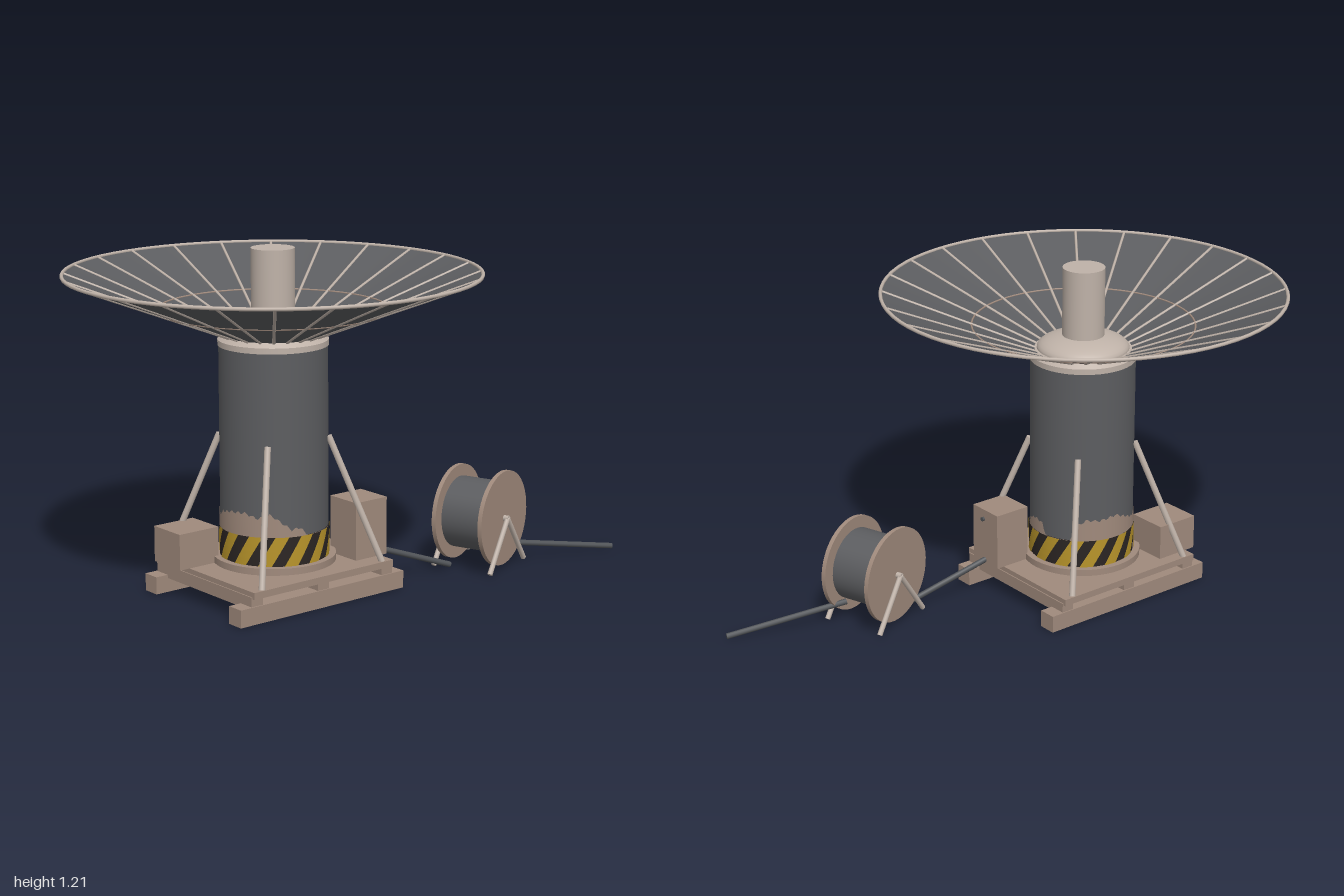
import * as THREE from 'three';

const mat = (name, color, extra = {}) => {
  const m = new THREE.MeshStandardMaterial({ color, ...extra });
  m.name = name;
  return m;
};

export function createModel() {
  const grey = mat('dark grey paint', 0x5c5d60);
  const greyThin = mat('dark grey panel', 0x5c5d60, { side: THREE.DoubleSide });
  const cream = mat('pale metal', 0xbfb2a8);
  const brown = mat('dusty brown', 0xa08a7c);
  const dust = mat('dust coat', 0xa08a7c, { side: THREE.DoubleSide });
  const yellow = mat('hazard yellow', 0xb8942a, { side: THREE.DoubleSide });
  const black = mat('hazard black', 0x2b2523);
  const cableGrey = mat('cable grey', 0x505357);

  const model = new THREE.Group();
  const tower = new THREE.Group();
  tower.name = 'tower';
  tower.position.x = -0.283;
  model.add(tower);

  const add = (parent, name, geo, material, x = 0, y = 0, z = 0) => {
    const m = new THREE.Mesh(geo, material);
    m.name = name;
    m.position.set(x, y, z);
    parent.add(m);
    return m;
  };
  const box = (parent, name, material, w, h, d, x, y, z) =>
    add(parent, name, new THREE.BoxGeometry(w, h, d), material, x, y, z);
  const drum = (parent, name, material, r, y0, y1, rTop = r) =>
    add(parent, name, new THREE.CylinderGeometry(rTop, r, y1 - y0, 48), material, 0, (y0 + y1) / 2, 0);
  // Round bar between two points
  const rod = (parent, name, material, a, b, r, sides = 10) => {
    const p = new THREE.Vector3(...a), q = new THREE.Vector3(...b);
    const dir = q.clone().sub(p);
    const m = add(parent, name, new THREE.CylinderGeometry(r, r, dir.length(), sides), material);
    m.position.copy(p).add(q).multiplyScalar(0.5);
    m.quaternion.setFromUnitVectors(new THREE.Vector3(0, 1, 0), dir.normalize());
    return m;
  };
  // Thin strip wrapped on the column; low and high give [angle, y] for t in 0..1
  const wrap = (r, steps, low, high) => {
    const pos = [], index = [];
    for (let i = 0; i <= steps; i++) {
      for (const [a, y] of [low(i / steps), high(i / steps)]) pos.push(r * Math.sin(a), y, r * Math.cos(a));
      if (i < steps) {
        const k = i * 2;
        index.push(k, k + 2, k + 1, k + 1, k + 2, k + 3);
      }
    }
    const g = new THREE.BufferGeometry();
    g.setAttribute('position', new THREE.Float32BufferAttribute(pos, 3));
    g.setIndex(index);
    g.computeVertexNormals();
    return g;
  };

  // Skid base
  for (const s of [-1, 1]) box(tower, 'skid', brown, 0.715, 0.062, 0.065, 0, 0.036, s * 0.242);
  for (const x of [-0.285, 0, 0.285]) box(tower, 'crossBeam', brown, 0.048, 0.045, 0.54, x, 0.078, 0);
  box(tower, 'platform', brown, 0.61, 0.024, 0.56, 0, 0.106, 0);
  drum(tower, 'baseFlange', brown, 0.215, 0.118, 0.142);

  // Column with collar
  drum(tower, 'column', grey, 0.188, 0.14, 0.89);
  drum(tower, 'collar', cream, 0.191, 0.88, 0.9);
  drum(tower, 'collarBevel', cream, 0.191, 0.9, 0.916, 0.172);

  // Hazard band with slanted stripes
  drum(tower, 'hazardBand', black, 0.1905, 0.142, 0.245);
  const stripes = 13, pitch = Math.PI * 2 / stripes;
  for (let i = 0; i < stripes; i++) {
    // rows climb the band so each stripe stays on the curved face
    const a = i * pitch;
    for (let j = 0; j < 4; j++) {
      const y0 = 0.142 + 0.103 * j / 4, y1 = 0.142 + 0.103 * (j + 1) / 4;
      const s0 = 0.32 * j / 4, s1 = 0.32 * (j + 1) / 4;
      add(tower, 'hazardStripe', wrap(0.1925, 4,
        t => [a + s0 + t * pitch * 0.52, y0], t => [a + s1 + t * pitch * 0.52, y1]), yellow);
    }
  }

  // Ragged dust coat above the band: angle in degrees, top height
  const edge = [[-180, 0.33], [-165, 0.31], [-150, 0.29], [-135, 0.3], [-120, 0.285], [-105, 0.31], [-90, 0.32],
    [-70, 0.325], [-55, 0.31], [-42, 0.325], [-30, 0.295], [-20, 0.27], [-10, 0.275], [-3, 0.245], [60, 0.245],
    [66, 0.28], [80, 0.295], [92, 0.29], [98, 0.245], [128, 0.245], [134, 0.3], [145, 0.325], [160, 0.32], [180, 0.33]];
  const topAt = deg => {
    const i = Math.max(1, edge.findIndex(e => e[0] >= deg));
    const [a0, y0] = edge[i - 1], [a1, y1] = edge[i];
    const y = THREE.MathUtils.lerp(y0, y1, (deg - a0) / (a1 - a0));
    return y > 0.25 ? y + 0.005 * Math.sin(deg * 0.7) : y;
  };
  const angle = t => -180 + 360 * t;
  add(tower, 'dustCoat', wrap(0.1905, 144,
    t => [THREE.MathUtils.degToRad(angle(t)), 0.244],
    t => [THREE.MathUtils.degToRad(angle(t)), topAt(angle(t))]), dust);

  // Diagonal struts
  for (const sx of [-1, 1]) for (const sz of [-1, 1])
    rod(tower, 'strut', cream, [sx * 0.264, 0.116, sz * 0.268], [sx * 0.133, 0.562, sz * 0.136], 0.0115);

  // Equipment boxes
  box(tower, 'smallCabinet', brown, 0.165, 0.127, 0.15, -0.262, 0.1815, -0.16);
  box(tower, 'tallCabinet', brown, 0.14, 0.207, 0.14, 0.265, 0.2215, 0.14);
  rod(tower, 'cabinetKnob', cableGrey, [0.333, 0.288, 0.15], [0.343, 0.288, 0.15], 0.008);

  // Dish
  const r0 = 0.17, r1 = 0.713, y0 = 0.914, y1 = 1.127;
  const dishY = r => y0 + (y1 - y0) * (r - r0) / (r1 - r0);
  add(tower, 'dish', new THREE.LatheGeometry(
    [new THREE.Vector2(r0 - 0.02, y0), new THREE.Vector2(r0, y0), new THREE.Vector2(r1, y1)], 72), greyThin);
  const ring = (name, r, tube, m) => {
    const t = add(tower, name, new THREE.TorusGeometry(r, tube, 8, 72), m, 0, dishY(r), 0);
    t.rotation.x = Math.PI / 2;
  };
  ring('dishRim', r1, 0.0065, cream);
  ring('dishRing', 0.395, 0.0035, brown);
  for (let i = 0; i < 24; i++) {
    const a = (i + 0.5) * Math.PI / 12, s = Math.sin(a), c = Math.cos(a);
    rod(tower, 'dishRib', cream, [r0 * s, y0, r0 * c], [r1 * s, y1, r1 * c], 0.0055, 6);
  }

  // Hub and feed
  const hub = add(tower, 'hub', new THREE.SphereGeometry(0.165, 40, 10, 0, Math.PI * 2, 0, Math.PI / 2),
    cream, 0, 0.915, 0);
  hub.scale.y = 0.33;
  drum(tower, 'feed', cream, 0.075, 0.93, 1.212);

  // Cable reel, its axle along local z
  const reel = new THREE.Group();
  reel.name = 'cableReel';
  reel.position.set(0.482, 0.19, 0.228);
  reel.rotation.y = 0.32;
  model.add(reel);
  rod(reel, 'reelCore', grey, [0, 0, -0.09], [0, 0, 0.09], 0.13, 40);
  rod(reel, 'reelAxle', cream, [0, 0, -0.12], [0, 0, 0.12], 0.011);
  for (const s of [-1, 1]) {
    rod(reel, 'reelFlange', brown, [0, 0, s * 0.085], [0, 0, s * 0.101], 0.173, 48);
    for (const x of [-1, 1])
      rod(reel, 'reelLeg', cream, [0, 0, s * 0.115], [x * 0.13, -0.178, s * 0.115], 0.0095);
  }

  // Cables
  rod(model, 'cabinetCable', cableGrey, [0.03, 0.135, 0.14], [0.355, 0.02, 0.21], 0.0105);
  rod(model, 'looseCable', cableGrey, [0.58, 0.075, 0.265], [0.995, 0.014, 0.402], 0.0105);

  return model;
}
